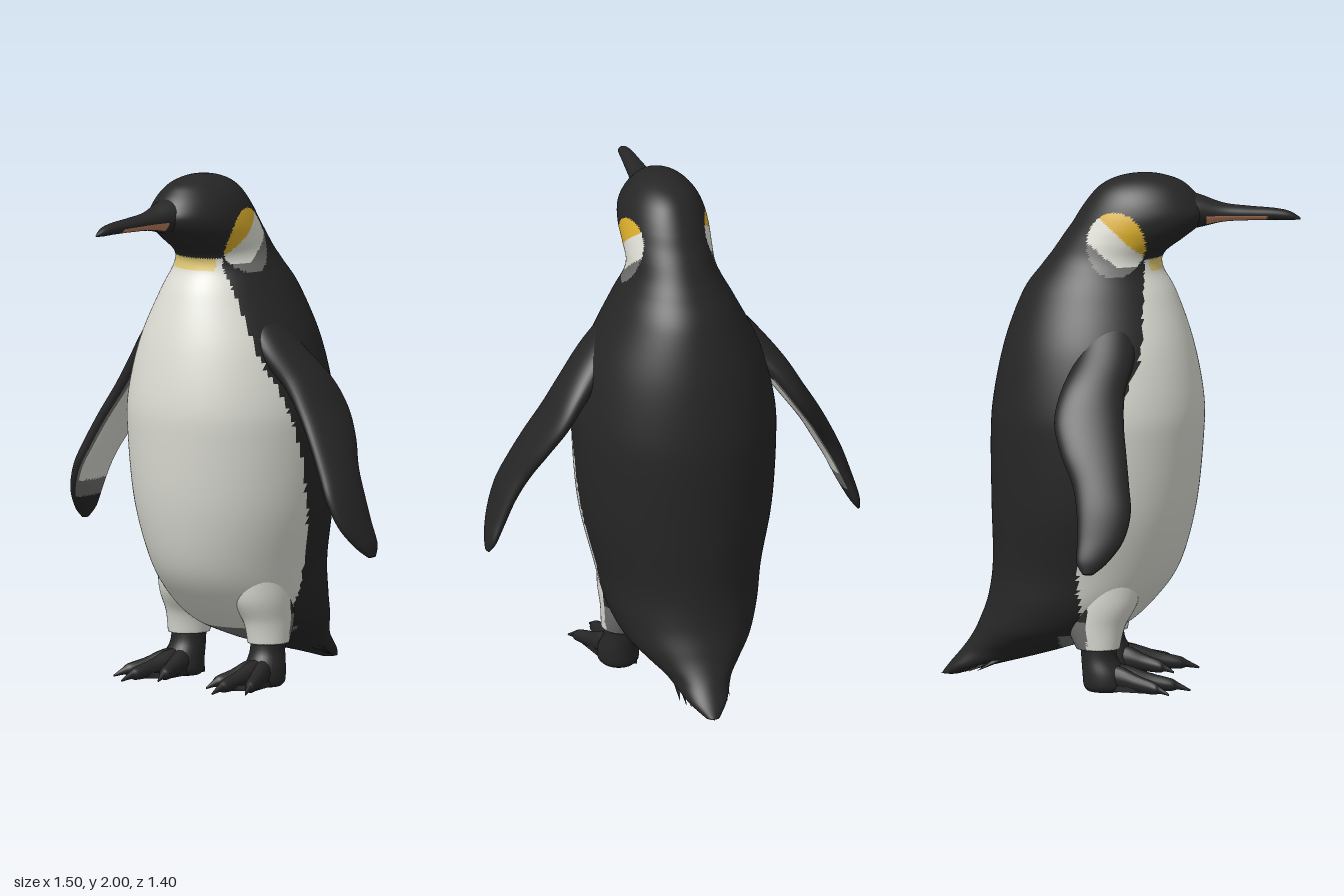
import * as THREE from 'three';

const mat = (name, color) => Object.assign(new THREE.MeshStandardMaterial({ color }), { name });
const BLACK = 0, WHITE = 1, GREY = 2, YELLOW = 3, PALE = 4, ORANGE = 5;

// Smooth interpolation through rows of section values
function sample(rows, u) {
  const f = u * (rows.length - 1), i = Math.min(Math.floor(f), rows.length - 2), t = f - i;
  const at = (k) => rows[Math.max(0, Math.min(rows.length - 1, k))];
  return rows[i].map((_, c) => {
    const p0 = at(i - 1)[c], p1 = at(i)[c], p2 = at(i + 1)[c], p3 = at(i + 2)[c];
    const m1 = (p2 - p0) / 2, m2 = (p3 - p1) / 2;
    return (2 * t ** 3 - 3 * t * t + 1) * p1 + (t ** 3 - 2 * t * t + t) * m1 +
      (3 * t * t - 2 * t ** 3) * p2 + (t ** 3 - t * t) * m2;
  });
}

// Closed loft: ring(section, angle) gives a point, paint(x, y, z, angle) a colour index
function loft(name, materials, rows, ring, steps, sides, paint = () => BLACK) {
  const pos = [], faces = [];
  for (let i = 0; i <= steps; i++) {
    const s = sample(rows, i / steps);
    for (let j = 0; j < sides; j++) pos.push(...ring(s, (j / sides) * Math.PI * 2));
  }
  for (const i of [0, steps]) {
    const c = [0, 0, 0];
    for (let j = 0; j < sides * 3; j++) c[j % 3] += pos[i * sides * 3 + j] / sides;
    pos.push(...c);
  }
  const n = (steps + 1) * sides;
  for (let j = 0; j < sides; j++) {
    const k = (j + 1) % sides, ang = ((j + 0.5) / sides) * Math.PI * 2;
    for (let i = 0; i < steps; i++) {
      const a = i * sides + j, b = i * sides + k, c = a + sides, d = b + sides;
      faces.push([a, b, d, ang], [a, d, c, ang]);
    }
    faces.push([n, k, j, ang], [n + 1, steps * sides + j, steps * sides + k, ang]);
  }
  // Turn all faces outward by the sign of the enclosed volume
  const v = (i) => new THREE.Vector3(pos[i * 3], pos[i * 3 + 1], pos[i * 3 + 2]);
  let volume = 0;
  const buckets = materials.map(() => []);
  for (const [a, b, c, ang] of faces) {
    const A = v(a), B = v(b), C = v(c);
    volume += A.dot(B.clone().cross(C));
    const m = A.add(B).add(C).divideScalar(3);
    buckets[paint(m.x, m.y, m.z, ang)].push([a, b, c]);
  }
  const geo = new THREE.BufferGeometry(), index = [];
  buckets.forEach((list, m) => {
    if (list.length) geo.addGroup(index.length, list.length * 3, m);
    for (const [a, b, c] of list) index.push(...(volume < 0 ? [a, c, b] : [a, b, c]));
  });
  geo.setAttribute('position', new THREE.Float32BufferAttribute(pos, 3));
  geo.setIndex(index);
  geo.computeVertexNormals();
  const mesh = new THREE.Mesh(geo, geo.groups.length > 1 ? materials : materials[geo.groups[0].materialIndex]);
  mesh.name = name;
  return mesh;
}

// Height to z of the edge between white front and black back
const EDGE = [[0, -0.12], [0.2, -0.12], [0.4, -0.14], [0.55, -0.14], [0.9, -0.06], [1.2, 0.05], [1.3, 0.095], [1.4, 0.105], [3, 0.095]];
function edgeZ(y) {
  const i = EDGE.findIndex((e) => e[0] > y), [y0, z0] = EDGE[i - 1], [y1, z1] = EDGE[i];
  return z0 + ((z1 - z0) * (y - y0)) / (y1 - y0);
}

function paintBody(x, y, z) {
  if (Math.hypot((z + 0.005) / 0.115, (y - 1.742) / 0.125) < 1 && Math.abs(x) > 0.05) {
    if ((z + 0.06) / 0.13 > (1.83 - y) / 0.11) return YELLOW;
    return y < 1.655 + Math.max(0, -z * 0.8) ? GREY : WHITE;
  }
  if (y > 1.68) return BLACK;
  if (y > 1.63 && z > 0.08 && Math.abs(x) < 0.105) return PALE;
  if (y < 0.21) return y > 0.14 && z > -0.22 ? GREY : BLACK;
  return z > edgeZ(y) ? WHITE : BLACK;
}

export function createModel() {
  const model = new THREE.Group();
  model.name = 'penguin';
  const materials = [mat('black', 0x262626), mat('white', 0xdcdcd4), mat('grey', 0x6e6e6c),
    mat('yellow', 0xd9ad2b), mat('pale yellow', 0xe0c873), mat('orange', 0xbd8060)];
  const add = (...args) => model.add(loft(args[0], materials, ...args.slice(1)));

  // Body and head: height, half width, front z, back z
  const flat = ([y, w, zf, zb], a) => [w * Math.sin(a), y, (zf + zb) / 2 + ((zf - zb) / 2) * Math.cos(a)];
  add('body', [
    [0.02, 0.03, -0.62, -0.69], [0.06, 0.08, -0.48, -0.66], [0.12, 0.13, -0.25, -0.61], [0.17, 0.19, -0.1, -0.575],
    [0.23, 0.25, 0.03, -0.545], [0.33, 0.295, 0.14, -0.51], [0.47, 0.325, 0.235, -0.492], [0.7, 0.375, 0.297, -0.497],
    [0.97, 0.395, 0.325, -0.5], [1.13, 0.388, 0.325, -0.488], [1.34, 0.335, 0.285, -0.445], [1.53, 0.245, 0.22, -0.375],
    [1.63, 0.192, 0.168, -0.305], [1.69, 0.17, 0.175, -0.26], [1.75, 0.17, 0.25, -0.22], [1.8, 0.172, 0.31, -0.185],
    [1.85, 0.166, 0.335, -0.155], [1.9, 0.148, 0.31, -0.12], [1.94, 0.122, 0.275, -0.085], [1.97, 0.09, 0.235, -0.04],
    [1.99, 0.052, 0.175, 0.02], [2, 0.01, 0.12, 0.09],
  ], flat, 168, 120, paintBody);

  // Beak: z, height, half width, half height
  add('beak', [
    [0.18, 1.855, 0.1, 0.09], [0.3, 1.853, 0.07, 0.066], [0.4, 1.848, 0.046, 0.037], [0.5, 1.846, 0.036, 0.028],
    [0.6, 1.844, 0.027, 0.023], [0.66, 1.838, 0.02, 0.017], [0.7, 1.827, 0.004, 0.004],
  ], ([z, y, w, h], a) => [w * Math.sin(a), y + h * Math.cos(a), z], 48, 32, (x, y, z, a) => {
    const c = Math.cos(a);
    return z > 0.335 && z < 0.57 && c < -0.1 && c > -0.85 ? ORANGE : BLACK;
  });

  for (const side of [1, -1]) {
    const word = side > 0 ? 'left' : 'right';

    // Eye
    const eye = new THREE.Mesh(new THREE.SphereGeometry(0.014, 16, 12), materials[BLACK]);
    eye.name = word + 'Eye';
    eye.position.set(side * 0.108, 1.875, 0.235);
    model.add(eye);

    // Flipper: x, y, front z, back z, half thickness
    add(word + 'Flipper', [
      [0.17, 1.52, 0.05, -0.1, 0.03], [0.29, 1.34, 0.08, -0.14, 0.06], [0.4, 1.21, 0.05, -0.2, 0.055],
      [0.475, 1.1, 0.05, -0.22, 0.048], [0.545, 0.99, 0.065, -0.19, 0.044], [0.605, 0.88, 0.08, -0.14, 0.042],
      [0.655, 0.78, 0.09, -0.12, 0.038], [0.695, 0.68, 0.065, -0.115, 0.032], [0.727, 0.6, 0.005, -0.115, 0.022],
      [0.743, 0.555, -0.05, -0.09, 0.008],
    ], ([x, y, zf, zb, t], a) => {
      const s = t * Math.sin(a);
      return [side * (x + 0.88 * s), y + 0.47 * s, (zf + zb) / 2 + ((zf - zb) / 2) * Math.cos(a)];
    }, 72, 40, (x, y, z, a) => {
      if (Math.sin(a) > -0.4 || y > 1.2 || y < 0.65) return BLACK;
      return y < 0.72 || Math.sin(a) > -0.55 ? GREY : WHITE;
    });

    // Feathered leg and bare ankle: y, centre x, half width, front z, back z
    const legRing = ([y, cx, w, zf, zb], a) =>
      [side * cx + w * Math.sin(a), y, (zf + zb) / 2 + ((zf - zb) / 2) * Math.cos(a)];
    add(word + 'Leg', [
      [0.5, 0.17, 0.12, 0.1, -0.2], [0.35, 0.18, 0.115, 0.085, -0.2], [0.25, 0.2, 0.088, 0.035, -0.19],
      [0.165, 0.206, 0.078, 0.015, -0.155],
    ], legRing, 30, 40, (x, y, z) => (z > -0.11 ? WHITE : y < 0.28 ? GREY : BLACK));
    add(word + 'Ankle', [
      [0.2, 0.205, 0.066, 0, -0.14], [0.13, 0.205, 0.068, 0.005, -0.135], [0.07, 0.21, 0.078, 0.04, -0.13],
      [0.02, 0.21, 0.08, 0.05, -0.125], [0, 0.21, 0.065, 0.03, -0.11],
    ], legRing, 20, 28);

    // Three toes with claws: x, y, z, half width, half height
    for (const [tx, tz] of [[0.125, 0.2], [0.235, 0.29], [0.34, 0.215]]) {
      const row = (t, y, w, h) => [0.205 + (tx - 0.205) * t, y, -0.06 + (tz + 0.06) * t, w, h];
      add(word + 'Toe', [
        row(0, 0.06, 0.05, 0.055), row(0.3, 0.052, 0.042, 0.048), row(0.55, 0.038, 0.031, 0.034),
        row(0.78, 0.028, 0.026, 0.025), row(0.86, 0.024, 0.014, 0.015), row(1, 0.008, 0.003, 0.004),
      ], ([x, y, z, w, h], a) => [side * x + w * Math.cos(a), y + h * Math.sin(a), z], 24, 16);
    }

    // Web between the toes
    const web = new THREE.Shape();
    web.moveTo(side * 0.15, 0.1);
    web.lineTo(side * 0.14, -0.13);
    web.quadraticCurveTo(side * 0.18, -0.12, side * 0.225, -0.21);
    web.quadraticCurveTo(side * 0.26, -0.13, side * 0.315, -0.15);
    web.lineTo(side * 0.26, 0.08);
    const webMesh = new THREE.Mesh(new THREE.ExtrudeGeometry(web, { depth: 0.022, bevelEnabled: false }), materials[BLACK]);
    webMesh.name = word + 'Web';
    webMesh.rotation.x = -Math.PI / 2;
    webMesh.position.y = 0.006;
    model.add(webMesh);
  }

  // Tail feathers: two fanned layers of thin spikes
  const tail = new THREE.Group();
  tail.name = 'tail';
  for (let layer = 0; layer < 2; layer++) {
    for (let i = -6; i <= 6; i++) {
      const s = i / 6, wobble = 0.012 * Math.sin(i * 5 + layer * 2);
      const from = new THREE.Vector3(s * 0.085, 0.12 + layer * 0.06, -0.42 - layer * 0.04);
      const to = new THREE.Vector3(s * 0.1, 0.015 + 0.03 * Math.abs(s) + layer * 0.03,
        -0.7 + layer * 0.035 + 0.14 * Math.abs(s) + Math.abs(wobble));
      const dir = to.clone().sub(from);
      const feather = new THREE.Mesh(new THREE.ConeGeometry(0.022, dir.length(), 7), materials[BLACK]);
      feather.name = 'tailFeather';
      feather.position.copy(from).add(to).multiplyScalar(0.5);
      feather.quaternion.setFromUnitVectors(new THREE.Vector3(0, 1, 0), dir.normalize());
      tail.add(feather);
    }
  }
  model.add(tail);
  return model;
}
